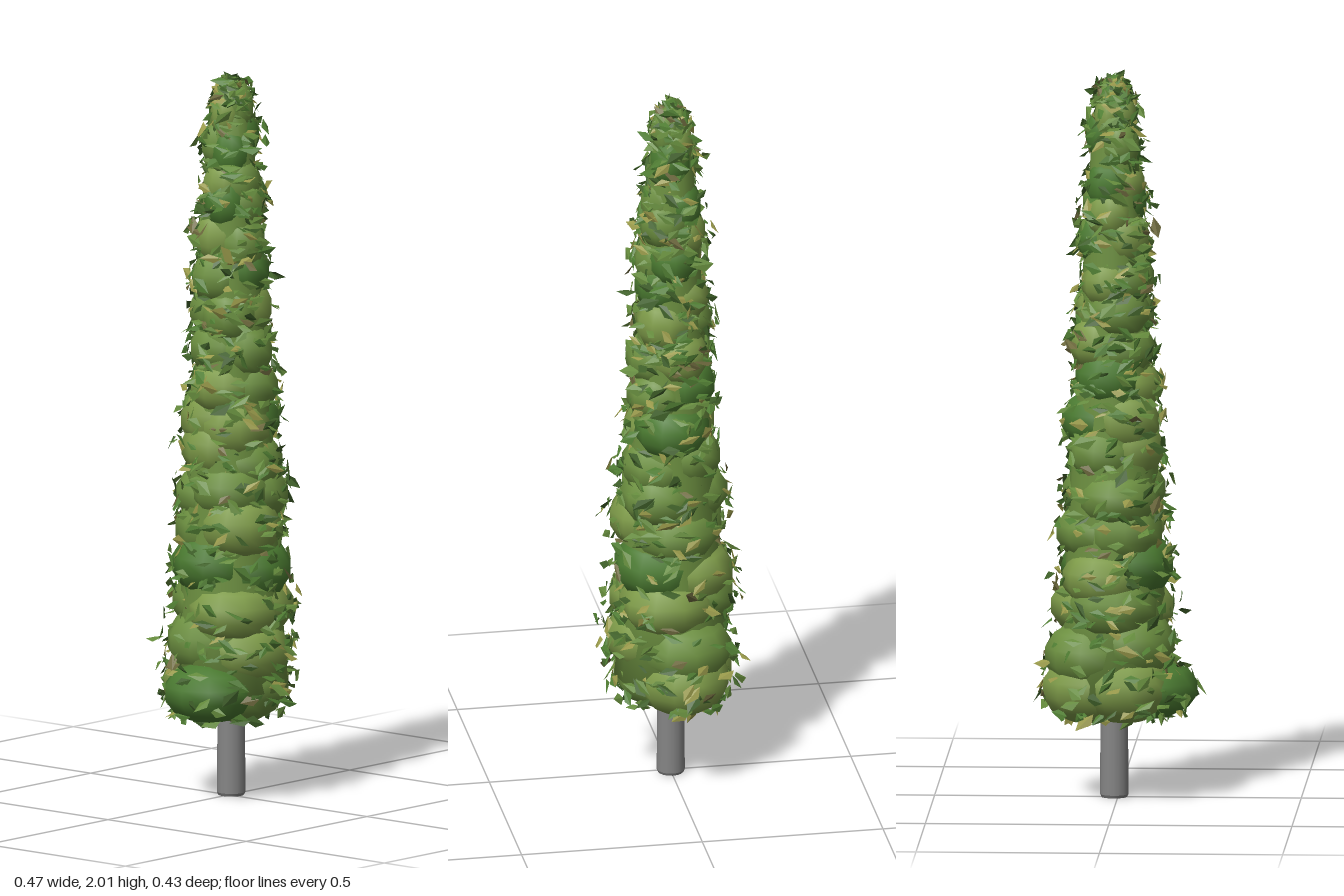
import * as THREE from 'three';
import { mergeGeometries } from 'three/addons/utils/BufferGeometryUtils.js';

// Outer radius of the foliage clumps by height
const PROFILE = [[0.2, 0.17], [0.3, 0.195], [0.5, 0.176], [0.8, 0.158], [1.0, 0.142],
  [1.2, 0.122], [1.5, 0.103], [1.8, 0.078], [1.92, 0.054], [2.0, 0.02]];
// The foliage and trunk stand slightly off the middle
const AXIS = 0.01;

function radiusAt(y) {
  for (let i = 1; i < PROFILE.length; i++) {
    const [y0, r0] = PROFILE[i - 1], [y1, r1] = PROFILE[i];
    if (y <= y1) return THREE.MathUtils.lerp(r0, r1, Math.max(0, (y - y0) / (y1 - y0)));
  }
  return 0.02;
}

function seeded(seed) {
  return () => {
    seed = (seed * 1664525 + 1013904223) % 4294967296;
    return seed / 4294967296;
  };
}

// Lopsided pointed leaf with a slight fold; x is its length, z its upper side
function leafGeometry() {
  const g = new THREE.BufferGeometry();
  g.setAttribute('position', new THREE.Float32BufferAttribute([
    -0.5, 0, 0, 0.1, -0.22, -0.07, 0.5, 0.06, 0,
    -0.5, 0, 0, 0.5, 0.06, 0, -0.15, 0.24, -0.07], 3));
  g.computeVertexNormals();
  return g;
}

export function createModel() {
  const tree = new THREE.Group();
  const rand = seeded(21);
  const range = (a, b) => a + (b - a) * rand();

  function add(name, geometry, color, options = {}) {
    const mesh = new THREE.Mesh(geometry, new THREE.MeshStandardMaterial({ color, ...options }));
    mesh.name = name;
    tree.add(mesh);
  }

  // Trunk with a slightly bevelled foot
  const trunk = new THREE.CylinderGeometry(0.037, 0.039, 0.29, 16).translate(AXIS, 0.153, 0);
  const foot = new THREE.CylinderGeometry(0.039, 0.035, 0.008, 16).translate(AXIS, 0.004, 0);
  add('trunk', mergeGeometries([trunk, foot]), 0x858585);

  // Inner core that closes the gaps between the clumps
  const corePoints = [[0, 0.22], ...PROFILE.slice(1, -1).map(([y, r]) => [r * 0.8, y]), [0, 1.96]]
    .map(([r, y]) => new THREE.Vector2(r, y));
  add('foliageCore', new THREE.LatheGeometry(corePoints, 16).translate(AXIS, 0, 0), 0x6c8f40);

  // Foliage clumps: staggered rings of broad, coarse, flattened balls
  const clumpColors = [0x7d9a48, 0x6c8f40, 0x4a7a30];
  const clumpShare = [0.42, 0.82, 1];
  const clumpGeos = clumpColors.map(() => []);
  const clumps = [];
  const addClump = (x, y, z, r, h) =>
    clumps.push({ c: new THREE.Vector3(x + AXIS, y, z), s: new THREE.Vector3(r, h, r) });
  // Wide lowest ring
  addClump(0.07, 0.305, -0.02, 0.13, 0.1);
  addClump(-0.1, 0.3, 0.01, 0.13, 0.085);
  addClump(0.0, 0.305, 0.025, 0.135, 0.1);
  addClump(-0.03, 0.31, -0.05, 0.13, 0.1);
  for (let y = 0.41, ring = 0; y < 1.9; ring++) {
    const R = radiusAt(y);
    for (let i = 0; i < 3; i++) {
      const a = (i + range(-0.15, 0.15)) / 3 * Math.PI * 2 + ring * 1.3;
      const r = R * range(0.68, 0.78);
      const d = R * range(0.96, 1.08) - r;
      addClump(Math.sin(a) * d, y + range(-0.025, 0.025), Math.cos(a) * d,
        r, (0.055 + R * 0.22) * range(0.95, 1.1));
    }
    y += 0.07 + R * 0.22;
  }
  addClump(0, 1.9, 0, 0.05, 0.085);
  for (const { c, s } of clumps) {
    const g = new THREE.SphereGeometry(1, 10, 7).rotateY(range(0, 6))
      .scale(s.x, s.y, s.z).translate(c.x, c.y, c.z);
    const t = rand();
    clumpGeos[clumpShare.findIndex(v => t <= v)].push(g);
  }
  clumpGeos.forEach((list, i) => add('foliageClumps' + (i + 1), mergeGeometries(list), clumpColors[i]));

  // Leaves lying around the exposed surface of the clumps
  const leafColors = [0x4f7c32, 0x648a3c, 0x3f6029, 0x98994a, 0x6e6a3e];
  const leafShare = [0.28, 0.62, 0.8, 0.96, 1];
  const leafGeos = leafColors.map(() => []);
  const base = leafGeometry();
  const dummy = new THREE.Object3D();
  const inside = (p, k) => ((p.x - k.c.x) / k.s.x) ** 2 + ((p.y - k.c.y) / k.s.y) ** 2
    + ((p.z - k.c.z) / k.s.z) ** 2 < 0.93;

  // The leaf's length follows the ring around the trunk, its face looks along out
  function addLeaf(p, out, length) {
    dummy.position.copy(p);
    dummy.lookAt(p.clone().add(out));
    dummy.rotateZ(range(-0.9, 0.9) + (rand() < 0.5 ? Math.PI : 0));
    dummy.rotateX(range(-0.6, 0.6));
    dummy.rotateY(range(-0.5, 0.5));
    dummy.scale.set(length, length * range(0.75, 1.25), length);
    dummy.updateMatrix();
    const t = rand();
    leafGeos[leafShare.findIndex(s => t <= s)].push(base.clone().applyMatrix4(dummy.matrix));
  }

  for (let made = 0, tries = 0; made < 1150 && tries < 20000; tries++) {
    const k = clumps[Math.floor(rand() * clumps.length)];
    const v = range(-0.95, 0.95), a = range(0, Math.PI * 2), w = Math.sqrt(1 - v * v);
    const n = new THREE.Vector3(Math.cos(a) * w, v, Math.sin(a) * w);
    const p = n.clone().multiply(k.s).add(k.c);
    if (p.y < 0.2 || clumps.some(o => o !== k && inside(p, o))) continue;
    const out = new THREE.Vector3(p.x - AXIS, 0, p.z).normalize();
    // Some leaves stand clear of the clumps, further out on the wide lower part
    const clear = 0.014 + radiusAt(p.y) * 0.12;
    p.addScaledVector(out, rand() < 0.25 ? range(0.01, clear) : range(-0.004, 0.01));
    out.y = range(-0.1, 1.1);
    addLeaf(p, out.normalize(), range(0.042, 0.07));
    made++;
  }

  // Tuft of leaves around the tip
  for (let i = 0; i < 60; i++) {
    const a = i * 2.4, t = i / 60, r = 0.062 * Math.sqrt(t);
    const p = new THREE.Vector3(Math.cos(a) * r + AXIS, 1.99 - t * 0.07, Math.sin(a) * r);
    addLeaf(p, new THREE.Vector3(p.x - AXIS, 0.05, p.z).normalize(), range(0.03, 0.05));
  }
  leafGeos.forEach((list, i) => add('leaves' + (i + 1), mergeGeometries(list), leafColors[i],
    { flatShading: true, side: THREE.DoubleSide }));

  return tree;
}
